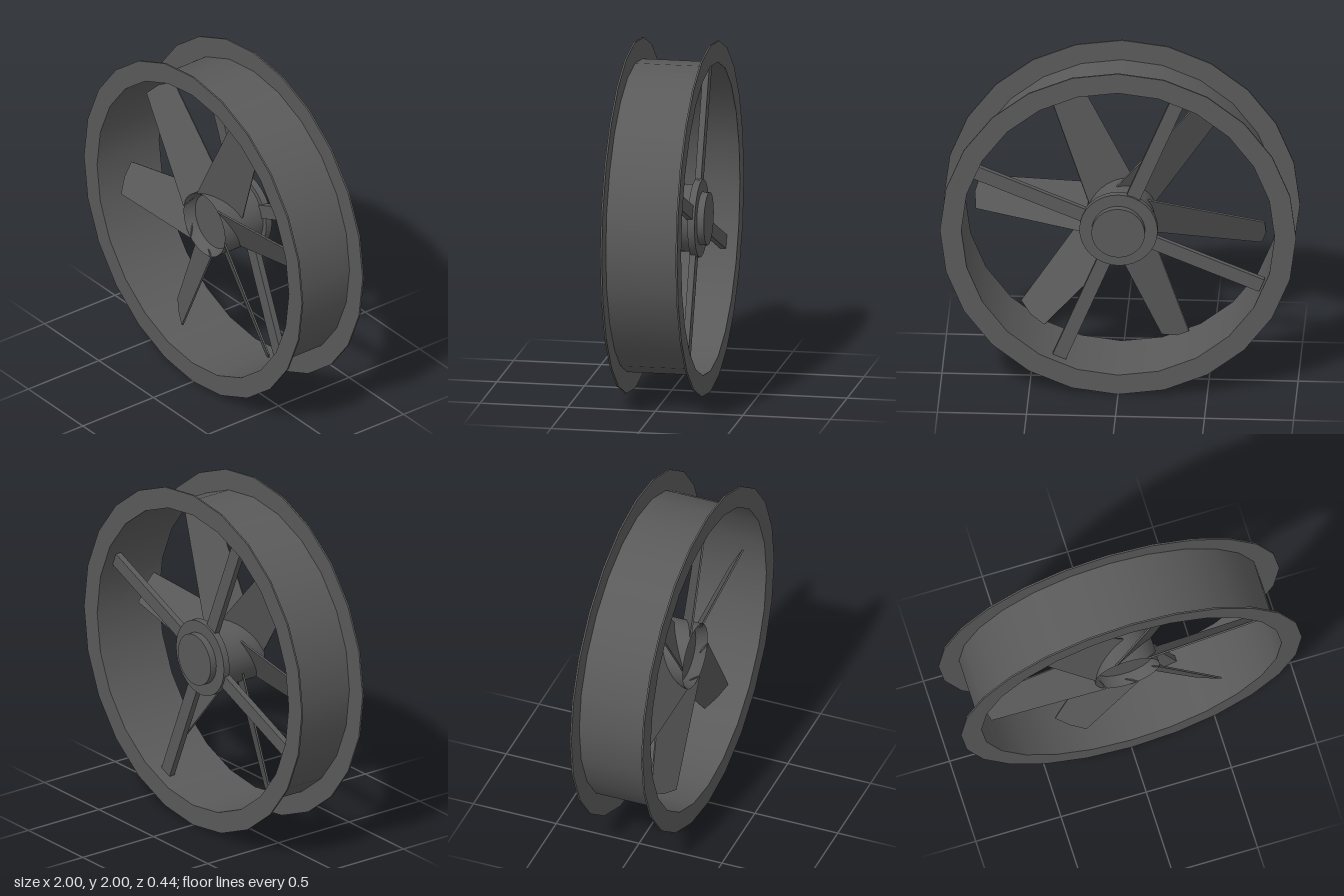
import * as THREE from 'three';
import { toCreasedNormals } from 'three/addons/utils/BufferGeometryUtils.js';

const SIDES = 24, RIM_R = 0.88, HALF_DEPTH = 0.215, COLOR = 0x5a5a5a;

export function createModel() {
  const model = new THREE.Group();
  const fan = new THREE.Group();
  fan.name = 'fan';
  fan.position.y = 1;
  model.add(fan);
  const grey = new THREE.MeshStandardMaterial({ color: COLOR });
  const thin = new THREE.MeshStandardMaterial({ color: COLOR, side: THREE.DoubleSide });

  const add = (name, geometry, parent = fan, material = grey) => {
    const mesh = new THREE.Mesh(geometry, material);
    mesh.name = name;
    parent.add(mesh);
    return mesh;
  };
  const polygon = (radius) => Array.from({ length: SIDES }, (_, i) => {
    const a = (i / SIDES) * Math.PI * 2;
    return new THREE.Vector2(Math.cos(a) * radius, Math.sin(a) * radius);
  });
  const plate = (shape, depth) => {
    const g = new THREE.ExtrudeGeometry(shape, { depth, bevelEnabled: false });
    return g.translate(0, 0, -depth / 2);
  };

  // Open duct wall
  const wall = new THREE.CylinderGeometry(RIM_R, RIM_R, HALF_DEPTH * 2, SIDES, 1, true);
  add('ductWall', wall.rotateX(Math.PI / 2), fan, thin);

  // Flat flanges on both ends of the duct
  const ring = new THREE.Shape(polygon(1));
  ring.holes.push(new THREE.Path(polygon(RIM_R)));
  for (const [name, side] of [['frontFlange', 1], ['backFlange', -1]]) {
    add(name, plate(ring, 0.01)).position.z = side * HALF_DEPTH;
  }

  // Hub with dished nose, motor body, mounting disc and rear cap
  const profile = [
    [0, -0.21], [0.15, -0.21], [0.15, -0.17], [0.22, -0.17], [0.22, -0.13],
    [0.19, -0.13], [0.19, 0.14], [0.16, 0.08], [0, 0.08],
  ].map(([r, z]) => new THREE.Vector2(r, z));
  const hub = new THREE.LatheGeometry(profile, 32).rotateX(Math.PI / 2);
  add('hub', toCreasedNormals(hub, 0.5));

  // Six pitched blades, tapering outward to a slightly rounded tip
  const pitch = THREE.MathUtils.degToRad(28);
  const outline = [[0.14, -0.13], [0.808, -0.085], [0.825, 0], [0.808, 0.085], [0.14, 0.13], [0.18, 0]];
  const bladeShape = new THREE.Shape(
    outline.map(([x, y]) => new THREE.Vector2(x, y / Math.cos(pitch))));
  const bladeGeometry = plate(bladeShape, 0.01);
  for (let i = 0; i < 6; i++) {
    const arm = new THREE.Group();
    arm.name = 'bladeArm';
    arm.rotation.z = THREE.MathUtils.degToRad(7.5 + i * 60);
    arm.position.z = 0.07;
    add('blade', bladeGeometry, arm).rotation.x = pitch;
    fan.add(arm);
  }

  // Four struts joining the mounting disc to the duct
  const strutGeometry = new THREE.BoxGeometry(0.71, 0.08, 0.035).translate(0.515, 0, -0.14);
  for (let i = 0; i < 4; i++) {
    add('strut', strutGeometry).rotation.z = THREE.MathUtils.degToRad(22.5 + i * 90);
  }
  return model;
}
